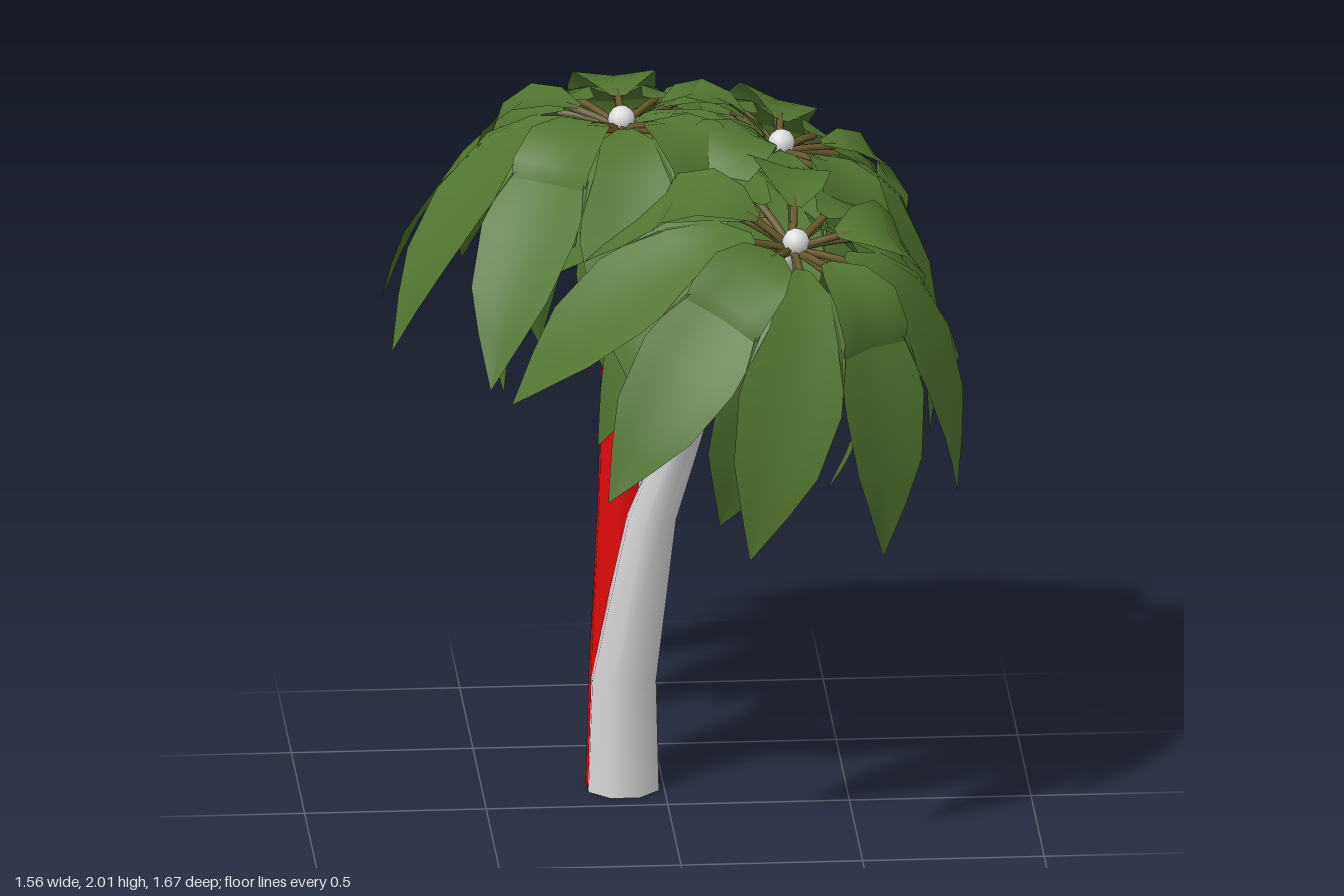
import * as THREE from 'three';

const both = THREE.DoubleSide;
const bark = new THREE.MeshStandardMaterial({ name: 'pale bark', color: 0xdddddd, side: both });
const redBark = new THREE.MeshStandardMaterial({ name: 'red bark', color: 0xe00808 });
const green = new THREE.MeshStandardMaterial({ name: 'leaf green', color: 0x52752f, side: both });
const olive = new THREE.MeshStandardMaterial({ name: 'stem olive', color: 0x685c2c });

// Skin a list of equally long point rows; closed rows join end to start.
function skin(rows, closed) {
  const n = rows[0].length, index = [];
  for (let i = 0; i < rows.length - 1; i++) {
    for (let j = 0; j < (closed ? n : n - 1); j++) {
      const k = (j + 1) % n, a = i * n, b = a + n;
      index.push(a + j, b + j, a + k, a + k, b + j, b + k);
    }
  }
  const g = new THREE.BufferGeometry();
  g.setAttribute('position', new THREE.Float32BufferAttribute(rows.flat(2), 3));
  g.setIndex(index);
  g.computeVertexNormals();
  return g;
}

// Tapering eight-sided trunk through [x, y, z, radius] points.
function trunk(name, material, path) {
  const rows = path.map(([x, y, z, r]) => Array.from({ length: 8 }, (_, j) => {
    const a = (j + 0.5) * Math.PI / 4;
    return [x + r * Math.cos(a), y, z + r * Math.sin(a)];
  }));
  const mesh = new THREE.Mesh(skin(rows, true), material);
  mesh.name = name;
  return mesh;
}

// Leaf blade growing along +x from [out, up, halfWidth] points; edges lifted by the cup amount.
function blade(profile, cup) {
  const rows = profile.map(([x, y, w], i) => {
    const p = profile[Math.max(i - 1, 0)], q = profile[Math.min(i + 1, profile.length - 1)];
    const dx = q[0] - p[0], dy = q[1] - p[1], l = Math.hypot(dx, dy);
    return [-1, -0.5, 0, 0.5, 1].map(u => {
      const lift = cup * w * (Math.abs(u) - 0.5);
      return [x - dy / l * lift, y + dx / l * lift, -u * w];
    });
  });
  return skin(rows, false);
}

// Thin stem from the bud to the base of a blade.
function stem(x, y) {
  const curve = new THREE.QuadraticBezierCurve3(
    new THREE.Vector3(0, -0.03, 0), new THREE.Vector3(x * 0.5, y * 0.3, 0), new THREE.Vector3(x, y, 0));
  return new THREE.TubeGeometry(curve, 4, 0.011, 5);
}

// Three rings of leaves: long spreading ones, short ones on top, steep hanging ones below.
const quarter = Math.PI / 2;
const leafRings = [
  { label: 'outer', count: 10, start: quarter, stem: stem(0.18, 0.005), blade: blade([
    [0.14, 0.02, 0.02], [0.23, 0.012, 0.08], [0.34, -0.04, 0.128], [0.48, -0.19, 0.15],
    [0.58, -0.34, 0.122], [0.63, -0.45, 0.07], [0.68, -0.585, 0.002]], 0.1) },
  { label: 'inner', count: 5, start: quarter, stem: stem(0.16, 0.025), blade: blade([
    [0.12, 0.025, 0.02], [0.19, 0.045, 0.08], [0.28, 0.035, 0.115], [0.36, -0.03, 0.122],
    [0.39, -0.13, 0.115], [0.375, -0.23, 0.09], [0.34, -0.3, 0.045]], 0.12) },
  { label: 'hanging', count: 5, start: -quarter, stem: stem(0.15, -0.03), blade: blade([
    [0.12, -0.01, 0.02], [0.2, -0.05, 0.08], [0.28, -0.16, 0.128], [0.335, -0.33, 0.15],
    [0.36, -0.5, 0.122], [0.36, -0.61, 0.07], [0.35, -0.75, 0.002]], 0.1) },
];
const budGeometry = new THREE.SphereGeometry(0.038, 12, 8);

// Crown of leaf rings around a round bud, tipped toward (leanX, leanZ).
function crown(name, position, leanX, leanZ, lean, twist = 0) {
  const group = new THREE.Group();
  group.name = name;
  group.position.set(...position);
  const axis = new THREE.Vector3(leanZ, 0, -leanX).normalize();
  group.quaternion.setFromAxisAngle(axis, THREE.MathUtils.degToRad(lean));

  const add = (partName, geometry, material, angle = 0) => {
    const mesh = new THREE.Mesh(geometry, material);
    mesh.name = partName;
    mesh.rotation.y = angle;
    group.add(mesh);
  };
  for (const ring of leafRings) {
    for (let i = 0; i < ring.count; i++) {
      const angle = ring.start + twist + i * 2 * Math.PI / ring.count;
      add(ring.label + 'Leaf', ring.blade, green, angle);
      add(ring.label + 'Stem', ring.stem, olive, angle);
    }
  }
  add('bud', budGeometry, bark);
  return group;
}

export function createModel() {
  const model = new THREE.Group();
  model.name = 'tree';

  // Three trunks sharing one foot
  model.add(
    trunk('uprightTrunk', redBark, [
      [-0.123, 0, -0.167, 0.096], [-0.119, 0.33, -0.165, 0.091],
      [-0.112, 0.84, -0.16, 0.073], [-0.11, 1.25, -0.158, 0.064], [-0.115, 1.93, -0.17, 0.035]]),
    trunk('leftTrunk', bark, [
      [-0.113, 0, -0.157, 0.105], [-0.11, 0.33, -0.157, 0.095],
      [-0.045, 0.84, -0.157, 0.075], [0.07, 1.2, -0.156, 0.07], [0.32, 1.85, -0.17, 0.035]]),
    trunk('frontTrunk', bark, [
      [-0.113, 0, -0.157, 0.105], [-0.113, 0.33, -0.13, 0.095],
      [-0.045, 0.84, 0.004, 0.071], [0.06, 1.2, 0.122, 0.052], [0.32, 1.75, 0.38, 0.033]]));

  // Each crown leans the way its trunk does
  model.add(
    crown('uprightCrown', [-0.115, 1.94, -0.17], 1, 0, 0),
    crown('leftCrown', [0.325, 1.86, -0.17], 1, 0, 21),
    crown('frontCrown', [0.325, 1.765, 0.38], 0.46, 0.54, 27, 0.08));
  return model;
}
